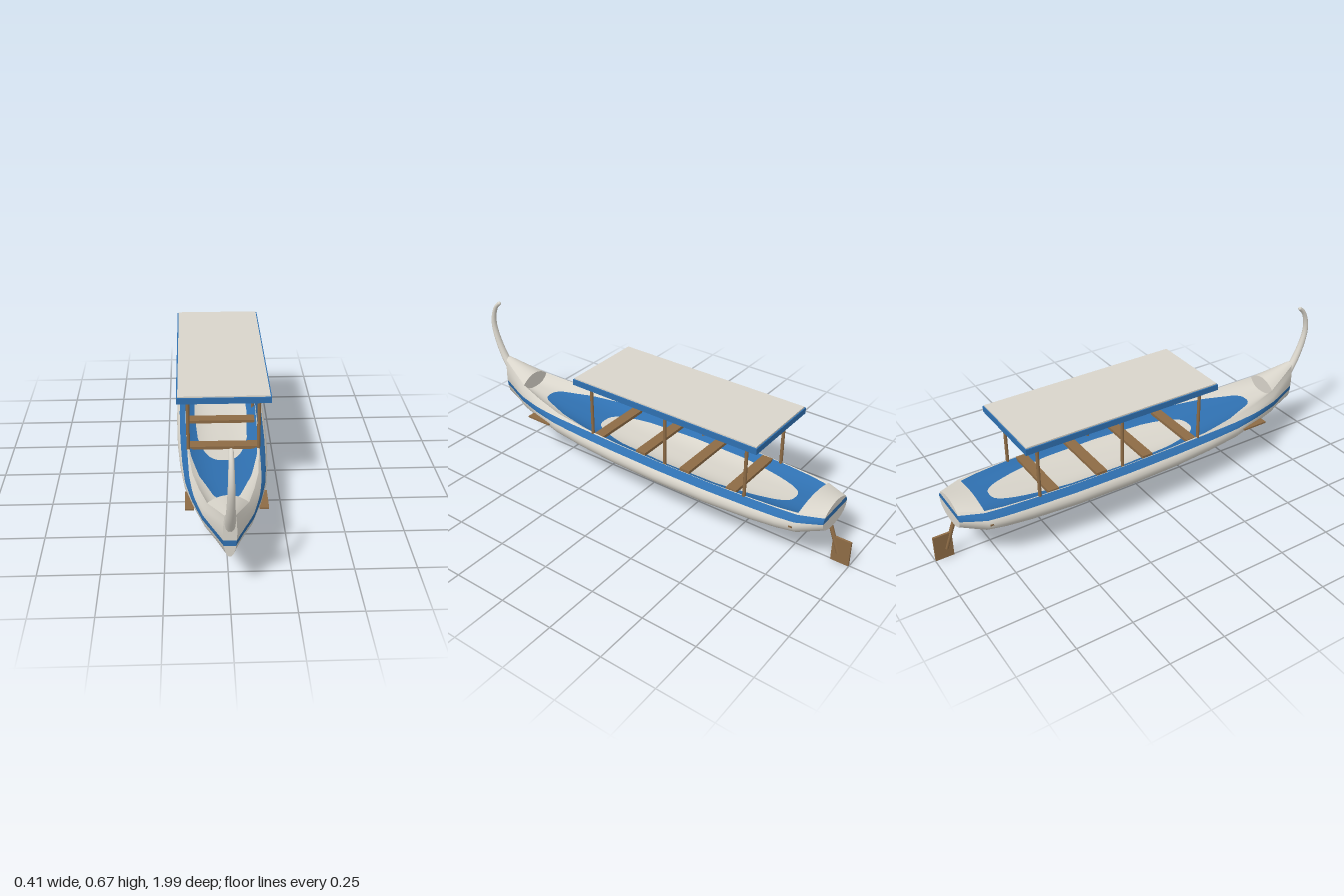
import * as THREE from 'three';

const mat = (name, color, side = THREE.FrontSide) => {
  const m = new THREE.MeshStandardMaterial({ color, side });
  m.name = name;
  return m;
};

// Hull stations: z, half beam, keel y, sheer y, floor y, deck crown
const STATIONS = [
  [0.9, 0.026, 0.187, 0.37, 0.33, 0.014],
  [0.73, 0.1, 0.16, 0.312, 0.272, 0.034],
  [0.6, 0.137, 0.15, 0.292, 0.256, 0],
  [0.46, 0.168, 0.14, 0.274, 0.247, 0],
  [0.29, 0.186, 0.134, 0.265, 0.235, 0],
  [0.1, 0.198, 0.127, 0.262, 0.222, 0],
  [-0.15, 0.204, 0.124, 0.261, 0.216, 0],
  [-0.4, 0.201, 0.125, 0.261, 0.218, 0],
  [-0.62, 0.188, 0.132, 0.262, 0.23, 0],
  [-0.73, 0.177, 0.139, 0.263, 0.235, 0],
  [-0.81, 0.163, 0.147, 0.265, 0.241, 0.02],
  [-0.91, 0.104, 0.176, 0.272, 0.25, 0.022],
];
const SHEER = 0.8; // sheer half-width as a fraction of the beam
const N = 32; // spans across each section

// Half section: fraction of beam, fraction of height from keel to sheer
const halfSection = new THREE.SplineCurve([
  [0, 0], [0.3, 0.02], [0.6, 0.09], [0.83, 0.225], [0.95, 0.38],
  [1, 0.55], [0.985, 0.7], [0.93, 0.82], [SHEER, 1],
].map(([x, y]) => new THREE.Vector2(x, y)));

// Each section curve runs from one sheer to the other in N spans
const across = (fn) => Array.from({ length: N + 1 }, (_, i) => fn((i / N) * 2 - 1));
const hullCurve = ([z, beam, keel, sheer]) => across((t) => {
  const p = halfSection.getPoint(Math.abs(t));
  return [Math.sign(t) * p.x * beam, keel + p.y * (sheer - keel), z];
});
const floorCurve = ([z, beam, , sheer, floor]) => across((t) =>
  [t * beam * SHEER, floor + (sheer - floor) * Math.abs(t) ** 3, z]);
const crownCurve = ([z, beam, , sheer, , crown]) => across((t) =>
  [t * beam * SHEER, sheer + crown * (1 - t * t), z]);

// Smooth surface through rows of points
function loft(rows) {
  const cols = rows[0].length;
  const index = [];
  for (let r = 0; r < rows.length - 1; r++) {
    for (let c = 0; c < cols - 1; c++) {
      const a = r * cols + c;
      const b = a + cols;
      index.push(a, b, a + 1, a + 1, b, b + 1);
    }
  }
  const g = new THREE.BufferGeometry();
  g.setAttribute('position', new THREE.Float32BufferAttribute(rows.flat(2), 3));
  g.setIndex(index);
  g.computeVertexNormals();
  return g;
}

// Keep the part of a polygon on one side of a height
function clip(poly, y, sign) {
  const out = [];
  poly.forEach((a, i) => {
    const b = poly[(i + 1) % poly.length];
    const da = (a[1] - y) * sign;
    const db = (b[1] - y) * sign;
    if (da >= 0) out.push(a);
    if (da * db < 0) out.push(a.map((v, k) => v + (b[k] - v) * (da / (da - db))));
  });
  return out;
}

// Cut a surface into the horizontal paint bands
function paint(name, geometry, bands) {
  const group = new THREE.Group();
  group.name = name;
  const g = geometry.toNonIndexed();
  const p = g.attributes.position;
  const n = g.attributes.normal;
  const vertex = (i) => [p.getX(i), p.getY(i), p.getZ(i), n.getX(i), n.getY(i), n.getZ(i)];
  for (const [label, low, high, material] of bands) {
    const pos = [];
    const nor = [];
    for (let i = 0; i < p.count; i += 3) {
      const poly = clip(clip([vertex(i), vertex(i + 1), vertex(i + 2)], low, 1), high, -1);
      for (let k = 1; k < poly.length - 1; k++) {
        for (const v of [poly[0], poly[k], poly[k + 1]]) {
          pos.push(...v.slice(0, 3));
          nor.push(...v.slice(3));
        }
      }
    }
    if (!pos.length) continue;
    const band = new THREE.BufferGeometry();
    band.setAttribute('position', new THREE.Float32BufferAttribute(pos, 3));
    band.setAttribute('normal', new THREE.Float32BufferAttribute(nor, 3));
    const mesh = new THREE.Mesh(band, material);
    mesh.name = name + label;
    group.add(mesh);
  }
  return group;
}

export function createModel() {
  const model = new THREE.Group();
  model.name = 'boat';
  const white = mat('off white', 0xd8d4ca, THREE.DoubleSide);
  const blue = mat('blue', 0x2f70b0, THREE.DoubleSide);
  const red = mat('dark red', 0x75201f, THREE.DoubleSide);
  const wood = mat('wood', 0x8d6b45);
  const bands = [
    ['BottomPaint', -1, 0.155, red],
    ['Topside', 0.155, 0.235, white],
    ['Stripe', 0.235, 0.26, blue],
    ['Rail', 0.26, 2, white],
  ];
  const add = (name, geometry, material, x = 0, y = 0, z = 0) => {
    const mesh = new THREE.Mesh(geometry, material);
    mesh.name = name;
    mesh.position.set(x, y, z);
    model.add(mesh);
    return mesh;
  };
  const box = (name, material, w, h, d, x, y, z) =>
    add(name, new THREE.BoxGeometry(w, h, d), material, x, y, z);
  const shell = (name, rows) => model.add(paint(name, loft(rows), bands));

  // Hull, cockpit floor, end decks and their closing faces
  const last = STATIONS.length - 1;
  const bow = STATIONS[0];
  const bowStep = STATIONS[1];
  const sternStep = STATIONS[last - 1];
  const stern = STATIONS[last];
  shell('hull', STATIONS.map(hullCurve));
  shell('floor', STATIONS.slice(1, last).map(floorCurve).reverse());
  shell('foredeck', [crownCurve(bowStep), crownCurve(bow)]);
  shell('afterdeck', [crownCurve(stern), crownCurve(sternStep)]);
  shell('stemFace', [crownCurve(bow), hullCurve(bow)]);
  shell('transom', [hullCurve(stern), crownCurve(stern)]);
  shell('foreBulkhead', [floorCurve(bowStep), crownCurve(bowStep)]);
  shell('aftBulkhead', [crownCurve(sternStep), floorCurve(sternStep)]);

  // Curved, tapering prow
  const path = new THREE.CatmullRomCurve3([
    [0.31, 0.885], [0.39, 0.935], [0.47, 0.969], [0.54, 0.984],
    [0.6, 0.976], [0.64, 0.957], [0.66, 0.935],
  ].map(([y, z]) => new THREE.Vector3(0, y, z)));
  const rings = Array.from({ length: 25 }, (_, i) => {
    const u = i / 24;
    const c = path.getPointAt(u);
    const t = path.getTangentAt(u);
    const rx = 0.021 - 0.012 * u;
    const rz = 0.019 - 0.01 * u;
    return Array.from({ length: 17 }, (_, k) => {
      const a = (k / 16) * Math.PI * 2;
      const s = Math.sin(a) * rz;
      return [Math.cos(a) * rx, c.y - t.z * s, c.z + t.y * s];
    });
  });
  add('prow', loft(rings), white);
  add('prowTip', new THREE.SphereGeometry(0.009, 16, 10), white, 0, 0.66, 0.935);
  add('prowBase', new THREE.SphereGeometry(0.02, 16, 10), white, 0, 0.31, 0.885);

  // Canopy on six posts
  box('canopyFrame', blue, 0.395, 0.027, 0.94, 0, 0.5235, -0.17);
  box('canopyRoof', white, 0.384, 0.006, 0.93, 0, 0.54, -0.17);
  for (const side of [-1, 1]) {
    for (const z of [0.235, -0.167, -0.57]) {
      add('canopyPost', new THREE.CylinderGeometry(0.0075, 0.0075, 0.275, 12), wood, side * 0.151, 0.3775, z);
    }
    // Side steps
    box('foreStep', wood, 0.037, 0.008, 0.127, side * 0.148, 0.213, 0.5635);
    box('aftStep', wood, 0.037, 0.008, 0.07, side * 0.148, 0.213, -0.77);
  }

  // Bench planks
  for (const z of [0.2, -0.035, -0.27, -0.505]) {
    box('bench', wood, 0.3, 0.014, 0.05, 0, 0.257, z);
  }

  // Rudder
  box('rudderBlade', wood, 0.01, 0.12, 0.082, 0, 0.06, -0.957);
  const stock = add('rudderStock', new THREE.CylinderGeometry(0.009, 0.009, 0.155, 12), wood, 0, 0.115, -0.918);
  stock.rotation.x = 0.36;
  return model;
}
